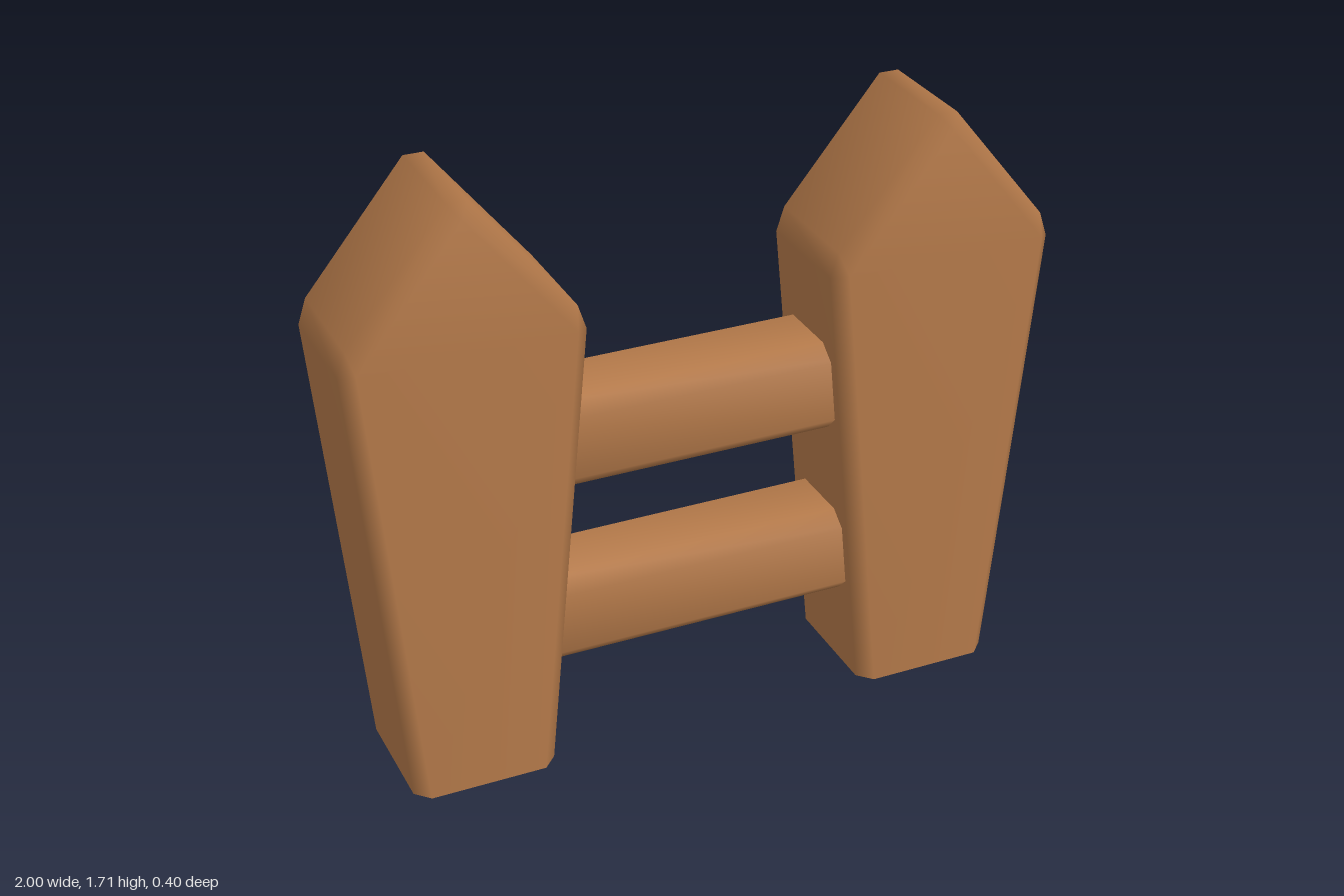
import * as THREE from 'three';
import { mergeGeometries, mergeVertices } from 'three/addons/utils/BufferGeometryUtils.js';

const wood = new THREE.MeshStandardMaterial({ color: 0xb57a4a });

// Skins a stack of outlines [z, points] from front to back, with smooth normals.
// Outlines run counter-clockwise as seen from +z; extra triangles close the ends.
function loft(sections, closed, caps = []) {
  const n = sections[0][1].length;
  const positions = sections.flatMap(([z, pts]) => pts.flatMap(([x, y]) => [x, y, z]));
  const index = [...caps];
  for (let s = 0; s < sections.length - 1; s++) {
    for (let i = 0; i < (closed ? n : n - 1); i++) {
      const a = s * n + i, b = s * n + (i + 1) % n;
      index.push(a, a + n, b, b, a + n, b + n);
    }
  }
  let geo = new THREE.BufferGeometry();
  geo.setAttribute('position', new THREE.Float32BufferAttribute(positions, 3));
  geo.setIndex(index);
  geo = mergeVertices(geo);
  geo.computeVertexNormals();
  return geo;
}

// Completes a right-hand half outline with its mirror image
const mirror = (half) => [...half, ...half.map(([x, y]) => [-x, y]).reverse()];

// Tapered picket with a pointed top and bevelled front and back edges
function postGeometry() {
  const outer = mirror([[0.204, 0], [0.328, 1.3], [0.305, 1.37], [0.028, 1.71]]);
  const inner = mirror([[0.165, 0], [0.29, 1.315], [0.29, 1.315], [0, 1.675]]);
  const front = [7, 0, 1, 7, 1, 5, 1, 3, 5];
  const back = front.map((i) => i + 24).reverse();
  const body = loft([[0.2, inner], [0.16, outer], [-0.16, outer], [-0.2, inner]], false, [...front, ...back]);

  // Flat underside with cut corners
  const corners = [[0.165, -0.2], [0.204, -0.16], [0.204, 0.16], [0.165, 0.2]];
  const sole = new THREE.ShapeGeometry(new THREE.Shape(mirror(corners).map(([x, y]) => new THREE.Vector2(x, y))));
  sole.rotateX(Math.PI / 2);
  sole.deleteAttribute('uv');
  return mergeGeometries([body, sole]);
}

// Square rail with bevelled long edges, its ends buried in the posts
function railGeometry() {
  const r = 0.133, c = 0.09;
  const outline = [[c, -r], [r, -c], [r, c], [c, r], [-c, r], [-r, c], [-r, -c], [-c, -r]];
  return loft([[0.52, outline], [-0.52, outline]], true).rotateY(Math.PI / 2);
}

export function createModel() {
  const model = new THREE.Group();
  model.name = 'fenceSection';

  const post = postGeometry();
  for (const [name, x] of [['leftPost', 0.672], ['rightPost', -0.672]]) {
    const mesh = new THREE.Mesh(post, wood);
    mesh.name = name;
    mesh.position.x = x;
    model.add(mesh);
  }

  const rail = railGeometry();
  for (const [name, y] of [['upperRail', 0.941], ['lowerRail', 0.405]]) {
    const mesh = new THREE.Mesh(rail, wood);
    mesh.name = name;
    mesh.position.y = y;
    model.add(mesh);
  }
  return model;
}
